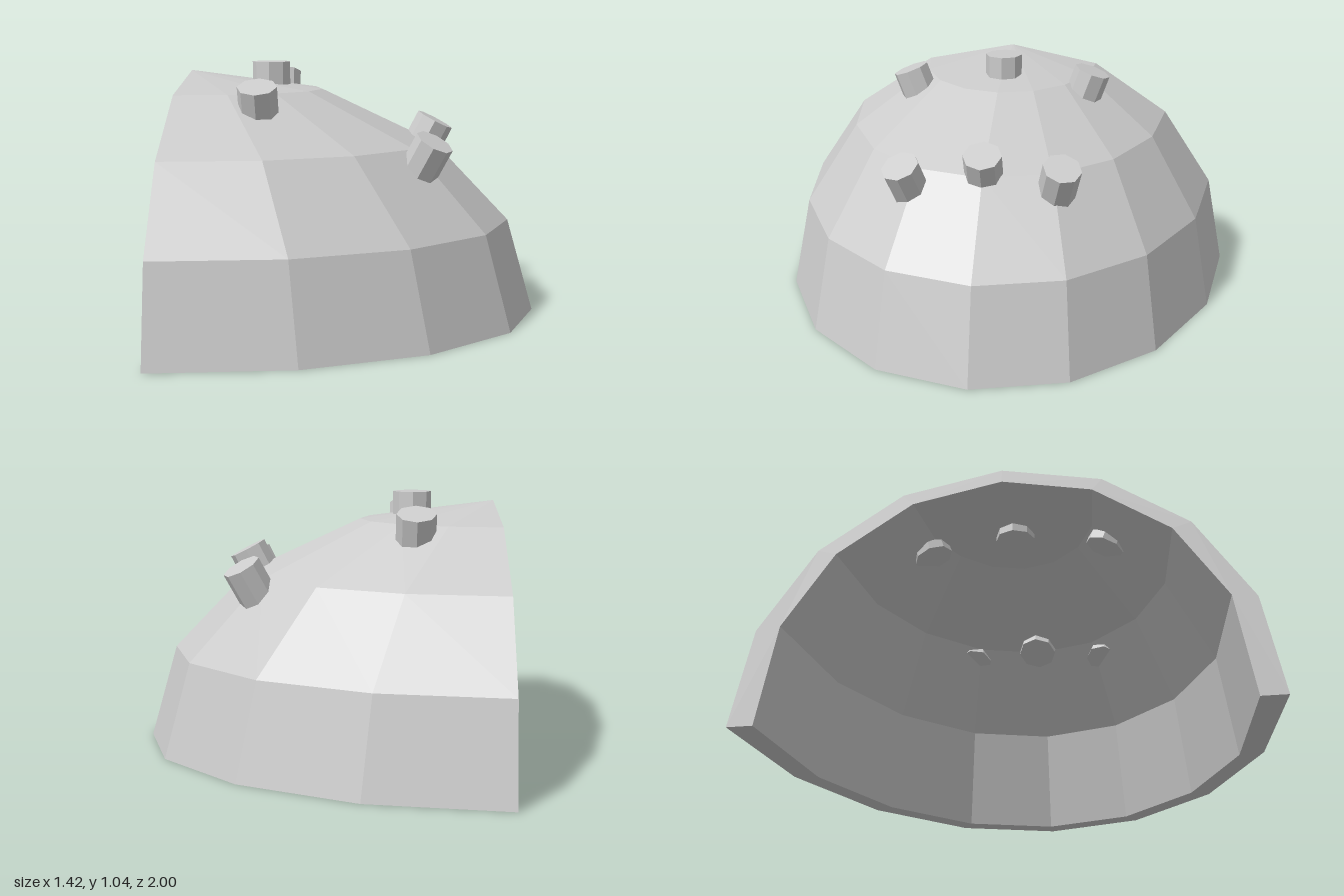
import * as THREE from 'three';
import { mergeGeometries } from 'three/addons/utils/BufferGeometryUtils.js';

const LENGTH = 1.425; // depth of the half dome along x; its height and half width are 1
const INSET = 0.9;    // size of the cavity relative to the outer skin

// Cavity coordinate: shrunk about the middle of the span, open edges stay at 0
const inset = (v, span) => (v < 1e-6 ? 0 : v * INSET + span * (1 - INSET) / 2);

// Low-poly half dome: x >= 0, y >= 0
function skin(inner) {
  const g = new THREE.SphereGeometry(1, 8, 4, Math.PI / 2, Math.PI, 0, Math.PI / 2);
  g.scale(LENGTH, 1, 1);
  if (inner) {
    const p = g.attributes.position;
    for (let i = 0; i < p.count; i++) {
      p.setXYZ(i, inset(p.getX(i), LENGTH), inset(p.getY(i), 1), p.getZ(i) * INSET);
    }
    g.index.array.reverse();
  }
  return g.toNonIndexed();
}

// Flat half ring (in x, y; y >= 0) joining the two skins
function rim(height) {
  const outer = Array.from({ length: 9 }, (_, i) => new THREE.Vector2(
    Math.cos(i / 8 * Math.PI), height * Math.sin(i / 8 * Math.PI)));
  const inner = outer.map((p) => new THREE.Vector2(p.x * INSET, inset(p.y, height)));
  return new THREE.ShapeGeometry(new THREE.Shape([...outer, ...inner.reverse()])).toNonIndexed();
}

export function createModel() {
  const model = new THREE.Group();
  model.name = 'studdedHalfDome';
  const material = new THREE.MeshStandardMaterial({ color: 0xcccccc, flatShading: true });

  // Hollow half dome: two skins, arched rim on the open side, rim on the ground
  const arch = rim(1).rotateY(-Math.PI / 2);
  const base = rim(LENGTH).rotateZ(-Math.PI / 2).rotateX(Math.PI / 2);
  const shell = new THREE.Mesh(mergeGeometries([skin(false), skin(true), arch, base]), material);
  shell.name = 'domeShell';
  shell.position.x = -LENGTH / 2;
  model.add(shell);

  // Eight-sided studs: centre of the top face, direction of the axis
  const height = 0.15;
  const studGeometry = new THREE.CylinderGeometry(0.078, 0.078, height, 8);
  studGeometry.translate(0, -height / 2, 0);
  const studs = [
    ['upperStudMiddle', [-0.38, 1.037, 0], [0, 1, 0]],
    ['upperStudFront', [-0.38, 0.96, 0.412], [0, 1, 0.38]],
    ['upperStudBack', [-0.38, 0.975, -0.385], [0, 1, -0.35]],
    ['lowerStudMiddle', [0.3, 0.8, 0], [0.52, 1, 0]],
    ['lowerStudFront', [0.302, 0.743, 0.328], [0.52, 1, 0.26]],
    ['lowerStudBack', [0.3, 0.762, -0.314], [0.52, 1, -0.22]],
  ];
  const up = new THREE.Vector3(0, 1, 0);
  for (const [name, top, axis] of studs) {
    const stud = new THREE.Mesh(studGeometry, material);
    stud.name = name;
    stud.position.set(...top);
    stud.quaternion.setFromUnitVectors(up, new THREE.Vector3(...axis).normalize());
    model.add(stud);
  }
  return model;
}
